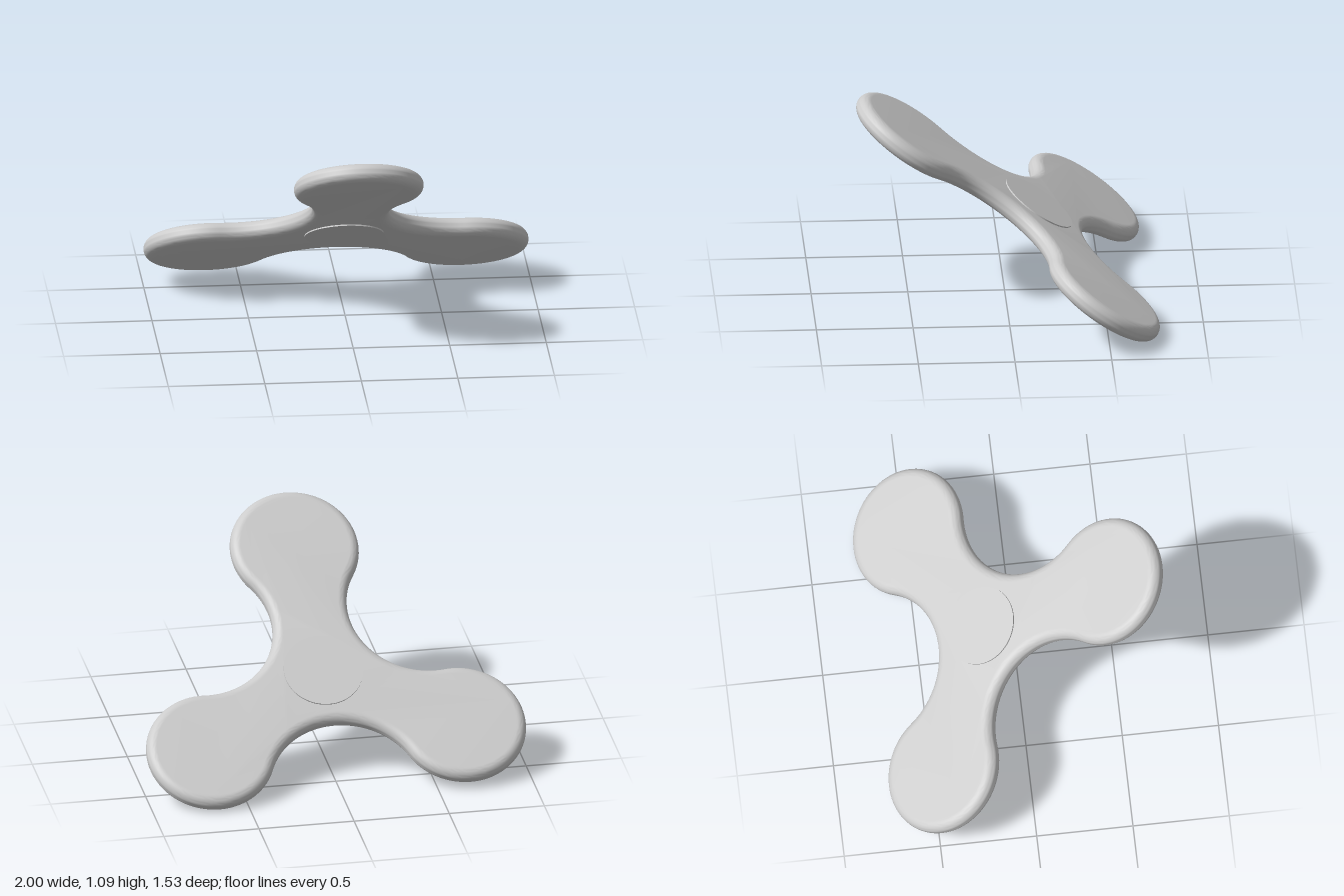
import * as THREE from 'three';
import { toCreasedNormals } from 'three/addons/utils/BufferGeometryUtils.js';

const deg = Math.PI / 180;
const EDGE = 0.05;          // half thickness, also radius of the rounded rim
const ARM = 0.766;          // hub centre to lobe centre
const LOBE = 0.335;         // outer lobe radius
const NOTCH_DIST = 0.6935;  // hub centre to centre of the concave arc
const NOTCH = 0.3975;       // concave arc radius

// Outline inset by the rim radius: three lobes joined by tangent concave arcs
function outline() {
  const pts = [];
  const arc = (dir, dist, r, from, to, n) => {
    for (let i = 0; i < n; i++) {
      const a = from + (to - from) * i / n;
      pts.push(new THREE.Vector2(
        dist * Math.cos(dir) + r * Math.cos(a),
        dist * Math.sin(dir) + r * Math.sin(a)));
    }
  };
  const phi = Math.atan2(NOTCH_DIST * Math.sin(60 * deg), NOTCH_DIST * 0.5 - ARM);
  const half = phi - 60 * deg;
  for (let k = 0; k < 3; k++) {
    const t = (-88.1 + 120 * k) * deg;
    arc(t, ARM, LOBE - EDGE, t - phi, t + phi, 56);
    const m = t + 60 * deg;
    arc(m, NOTCH_DIST, NOTCH + EDGE, m + Math.PI + half, m + Math.PI - half, 36);
  }
  return new THREE.Shape(pts);
}

export function createModel() {
  const model = new THREE.Group();
  model.name = 'spinner';
  const material = new THREE.MeshStandardMaterial({ color: 0xcccccc });

  // Tilted assembly, the hub axis being its local y
  const tilted = new THREE.Group();
  tilted.name = 'tiltedSpinner';
  tilted.position.set(0.005, 0.441, -0.148);
  tilted.rotation.x = -34.5 * deg;
  model.add(tilted);

  // Three-lobed body with a fully rounded rim
  const depth = 0.002;
  const bodyGeo = new THREE.ExtrudeGeometry(outline(), {
    depth, bevelEnabled: true, bevelSize: EDGE,
    bevelThickness: EDGE - depth / 2, bevelSegments: 10,
  });
  bodyGeo.translate(0, 0, -depth / 2);
  bodyGeo.rotateX(-Math.PI / 2);
  const body = new THREE.Mesh(toCreasedNormals(bodyGeo, 0.5), material);
  body.name = 'body';
  tilted.add(body);

  // Thin finger caps standing just proud of both faces
  for (const [name, side] of [['topCap', 1], ['bottomCap', -1]]) {
    const cap = new THREE.Mesh(new THREE.CylinderGeometry(0.205, 0.205, 0.016, 64), material);
    cap.name = name;
    cap.position.y = side * 0.049;
    tilted.add(cap);
  }
  return model;
}
